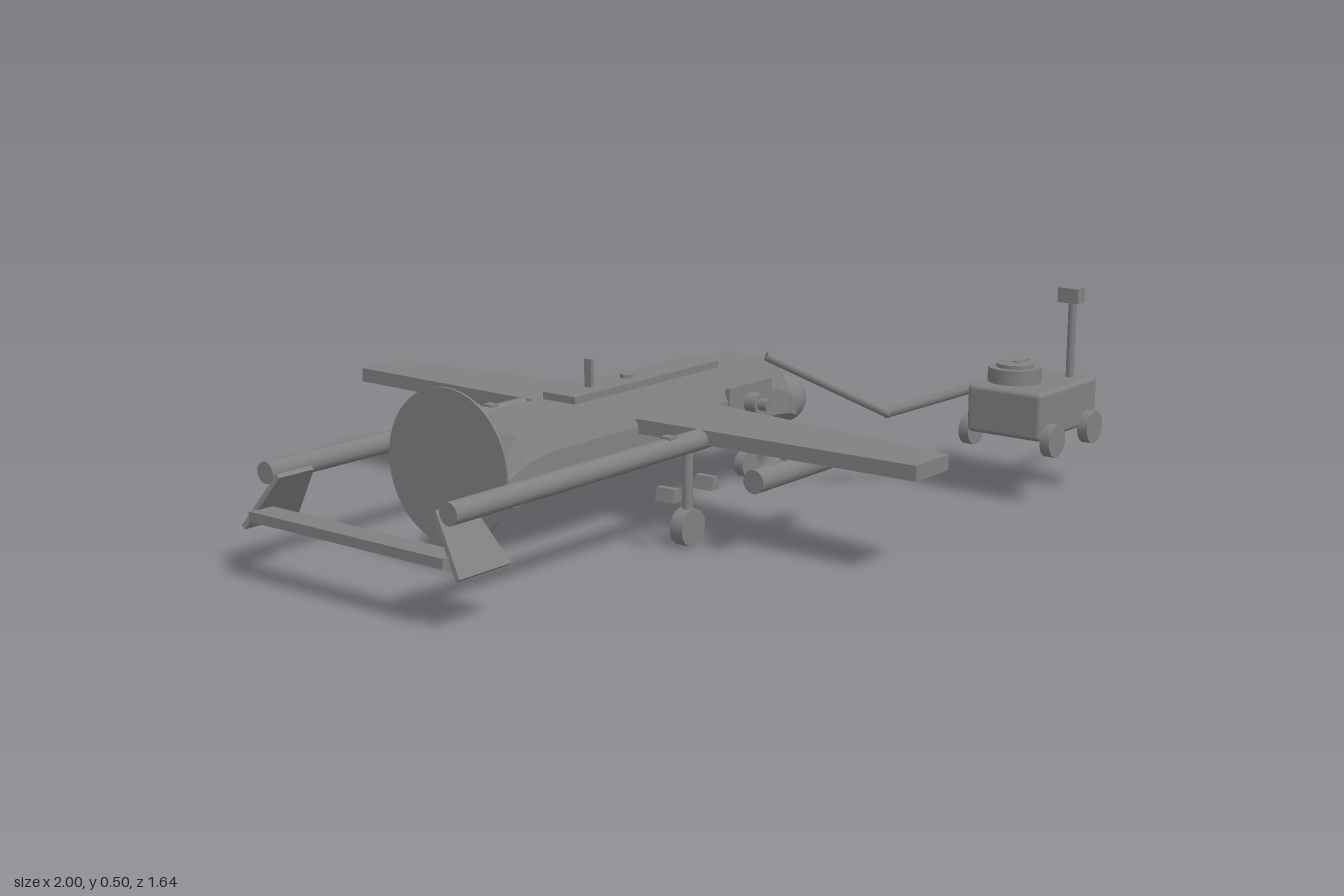
import * as THREE from 'three';
import { RoundedBoxGeometry } from 'three/addons/geometries/RoundedBoxGeometry.js';

const grey = new THREE.MeshStandardMaterial({ color: 0x808080 });
grey.name = 'grey';
const flatGrey = grey; // every part shares one colour

function add(parent, name, geo, x = 0, y = 0, z = 0) {
  const m = new THREE.Mesh(geo, flatGrey);
  m.name = name;
  m.position.set(x, y, z);
  parent.add(m);
  return m;
}
const box = (w, h, d) => new THREE.BoxGeometry(w, h, d);
const cylX = (r, l, n = 24) => new THREE.CylinderGeometry(r, r, l, n).rotateZ(Math.PI / 2);
const cylY = (r, l, n = 24) => new THREE.CylinderGeometry(r, r, l, n);
const cylZ = (r, l, n = 24) => new THREE.CylinderGeometry(r, r, l, n).rotateX(Math.PI / 2);

function rod(parent, name, a, b, r) {
  const A = new THREE.Vector3(...a), B = new THREE.Vector3(...b);
  const d = B.clone().sub(A);
  const m = add(parent, name, cylY(r, d.length(), 12));
  m.position.copy(A).add(B).multiplyScalar(0.5);
  m.quaternion.setFromUnitVectors(new THREE.Vector3(0, 1, 0), d.normalize());
}

function extrude(points, depth) {
  const s = new THREE.Shape(points.map((p) => new THREE.Vector2(...p)));
  return new THREE.ExtrudeGeometry(s, { depth, bevelEnabled: false });
}

// Faceted hull from octagonal sections: [x, bottom, top, half width]
function hullGeometry(stations) {
  const rings = stations.map(([x, b, t, w]) => {
    const h = t - b;
    const half = [[0.82 * w, b], [w, b + 0.15 * h], [w * 0.96, b + 0.55 * h], [0.62 * w, t]];
    return [
      ...half.map(([z, y]) => [x, y, -z]),
      ...half.slice().reverse().map(([z, y]) => [x, y, z]),
    ];
  });
  const pos = [];
  const tri = (...p) => p.forEach((v) => pos.push(...v));
  const n = 8, last = rings.length - 1;
  for (let j = 0; j < last; j++) {
    for (let i = 0; i < n; i++) {
      const k = (i + 1) % n;
      tri(rings[j][i], rings[j][k], rings[j + 1][k]);
      tri(rings[j][i], rings[j + 1][k], rings[j + 1][i]);
    }
  }
  for (let i = 1; i < n - 1; i++) {
    tri(rings[last][0], rings[last][i], rings[last][i + 1]);
    tri(rings[0][0], rings[0][i + 1], rings[0][i]);
  }
  const g = new THREE.BufferGeometry();
  g.setAttribute('position', new THREE.Float32BufferAttribute(pos, 3));
  g.computeVertexNormals();
  return g;
}

function buildAircraft() {
  const g = new THREE.Group();
  g.name = 'aircraft';

  // Body, nose and fittings on top
  add(g, 'fuselage', hullGeometry([
    [-0.63, 0.15, 0.172, 0.06], [-0.53, 0.15, 0.28, 0.083], [-0.46, 0.15, 0.315, 0.097],
    [0.38, 0.15, 0.315, 0.097], [0.45, 0.145, 0.275, 0.088], [0.515, 0.135, 0.2, 0.062],
  ]));
  add(g, 'noseBall', new THREE.SphereGeometry(0.062, 32, 20), 0.538, 0.178, 0);
  add(g, 'topPanel', box(0.53, 0.02, 0.094), -0.065, 0.322, 0);
  add(g, 'topCap', cylY(0.015, 0.012), -0.09, 0.335, 0);
  add(g, 'antenna', box(0.01, 0.07, 0.02), -0.225, 0.362, 0);
  add(g, 'sidePanel', box(0.175, 0.1, 0.012), 0.267, 0.222, 0.092);
  add(g, 'panelHandle', box(0.04, 0.007, 0.01), 0.265, 0.182, 0.1);

  // Tapered wing through the body
  const wing = extrude([
    [-0.165, 0], [-0.163, -0.1], [-0.145, -0.82], [-0.015, -0.82], [0.08, -0.1],
    [0.08, 0.1], [-0.015, 0.82], [-0.145, 0.82], [-0.163, 0.1],
  ], 0.034).rotateX(-Math.PI / 2);
  add(g, 'wing', wing, 0, 0.225, 0);

  // Propeller disc and shaft
  add(g, 'propellerDisc', cylX(0.172, 0.006, 48), -0.69, 0.236, 0);

  // Mirrored parts
  for (const s of [1, -1]) {
    const side = new THREE.Group();
    side.name = s > 0 ? 'frontSideParts' : 'backSideParts';
    g.add(side);
    add(side, 'tailBoom', cylX(0.024, 0.95), -0.49, 0.236, s * 0.264);
    add(side, 'boomBump', box(0.025, 0.012, 0.025), -0.27, 0.258, s * 0.264);
    add(side, 'pod', cylX(0.027, 0.315), -0.052, 0.178, s * 0.45);
    add(side, 'podPylon', box(0.1, 0.035, 0.012), -0.05, 0.213, s * 0.45);

    // Slanted fin crossing the boom end
    const fin = extrude([[-0.99, 0], [-0.84, 0], [-0.868, 0.147], [-0.965, 0.147]], 0.012);
    fin.translate(0, 0, -0.006);
    add(side, 'fin', fin, 0, 0.115, s * 0.31).rotation.x = -s * 0.616;

    // Main gear with two small doors
    add(side, 'mainStrut', cylY(0.012, 0.17, 12), -0.2, 0.145, s * 0.264);
    add(side, 'mainWheel', cylZ(0.043, 0.034), -0.2, 0.044, s * 0.264);
    for (const x of [-0.27, -0.13]) {
      const door = extrude([[-0.016, -0.015], [0.016, -0.015], [0.008, 0.015], [-0.008, 0.015]], 0.05);
      add(side, 'gearDoor', door.translate(0, 0, -0.025), x, 0.133, s * 0.264);
    }
  }
  add(g, 'tailplane', box(0.06, 0.022, 0.56), -0.97, 0.146, 0);

  // Nose gear
  add(g, 'noseStrut', cylY(0.011, 0.12, 12), 0.385, 0.1, 0);
  add(g, 'noseWheel', cylZ(0.033, 0.026), 0.385, 0.034, 0);
  return g;
}

function buildRover() {
  const g = new THREE.Group();
  g.name = 'rover';
  add(g, 'roverBody', new RoundedBoxGeometry(0.285, 0.117, 0.2, 3, 0.012), 0.708, 0.219, 0.624);
  for (const x of [0.61, 0.8]) {
    for (const z of [0.514, 0.734]) add(g, 'roverWheel', cylZ(0.04, 0.026), x, 0.16, z);
  }

  // Turret
  add(g, 'turret', cylY(0.065, 0.036, 32), 0.665, 0.296, 0.597);
  add(g, 'turretCap', cylY(0.045, 0.012, 32), 0.665, 0.317, 0.597);
  add(g, 'turretBar', box(0.055, 0.012, 0.014), 0.695, 0.32, 0.597);

  // Mast with a half round head
  add(g, 'mast', cylY(0.01, 0.2, 12), 0.797, 0.37, 0.676);
  const head = new THREE.Shape();
  head.moveTo(-0.027, -0.027);
  head.lineTo(0, -0.027);
  head.absarc(0, 0, 0.027, -Math.PI / 2, Math.PI / 2, false);
  head.lineTo(-0.027, 0.027);
  const headGeo = new THREE.ExtrudeGeometry(head, { depth: 0.036, bevelEnabled: false, curveSegments: 12 });
  add(g, 'mastHead', headGeo.rotateX(-Math.PI / 2), 0.797, 0.463, 0.676);

  add(g, 'frontRod', box(0.16, 0.014, 0.014), 0.92, 0.172, 0.624);
  return g;
}

function buildArm() {
  const g = new THREE.Group();
  g.name = 'arm';
  const tip = [0.27, 0.345, 0.14], elbow = [0.47, 0.2, 0.36], root = [0.62, 0.265, 0.53];
  rod(g, 'upperArm', tip, elbow, 0.012);
  rod(g, 'lowerArm', elbow, root, 0.012);
  add(g, 'elbowJoint', new THREE.SphereGeometry(0.013, 12, 8), ...elbow);
  // Socket on the aircraft side
  add(g, 'socket', cylZ(0.026, 0.035), 0.265, 0.225, 0.112);
  add(g, 'socketPlug', cylZ(0.015, 0.03), 0.265, 0.225, 0.138);
  return g;
}

export function createModel() {
  const model = new THREE.Group();
  model.name = 'aircraftAndRover';
  model.add(buildAircraft(), buildRover(), buildArm());
  return model;
}
